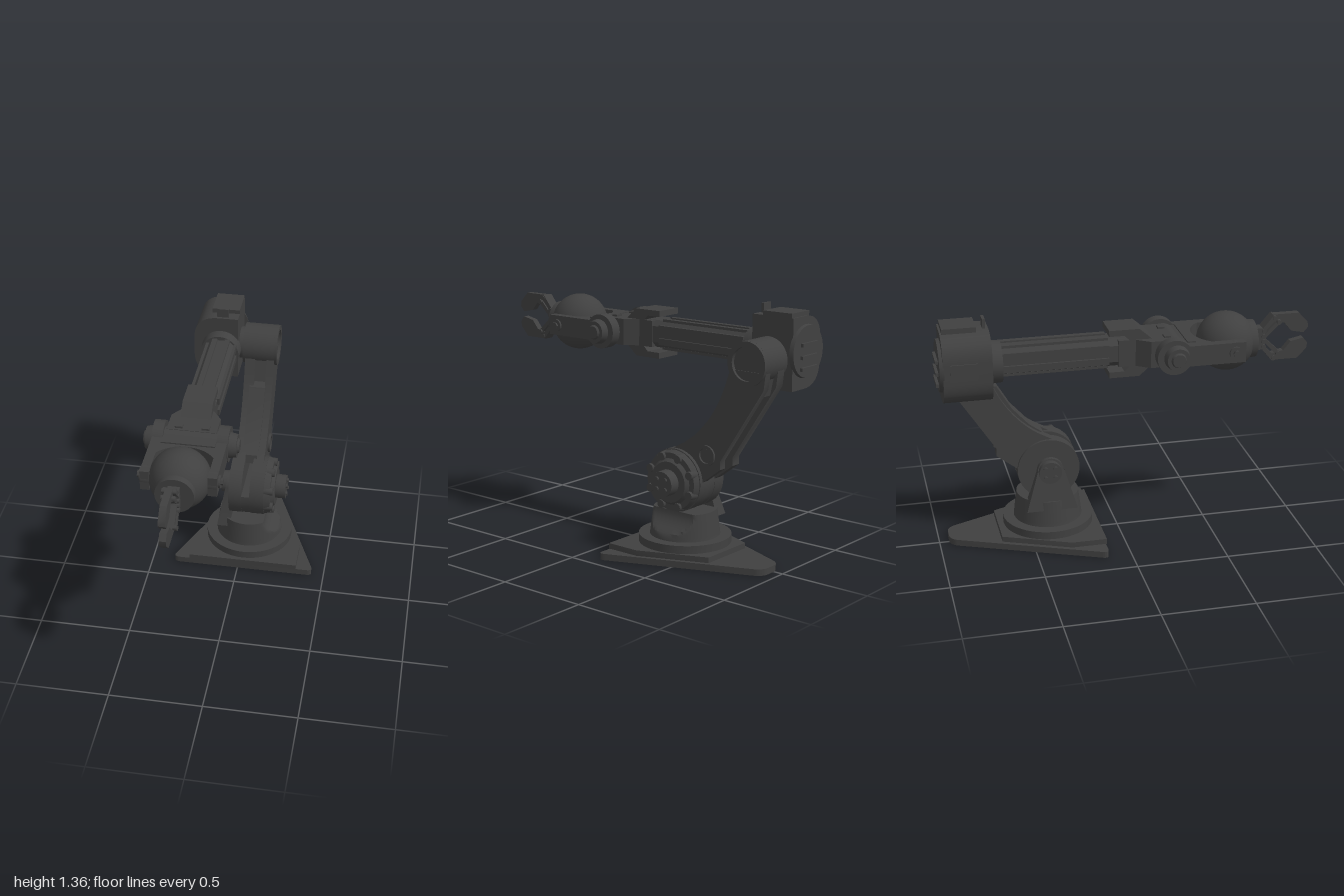
import * as THREE from 'three';
import { toCreasedNormals } from 'three/addons/utils/BufferGeometryUtils.js';

export function createModel() {
  const root = new THREE.Group();
  root.name = 'robotArm';
  const charcoal = new THREE.MeshStandardMaterial({ color: 0x404040 });
  charcoal.name = 'charcoal';
  const X = -0.18, Y = 1.125; // forearm centre line

  const add = (name, geo) => {
    const m = new THREE.Mesh(toCreasedNormals(geo, 0.6), charcoal);
    m.name = name;
    root.add(m);
    return m;
  };
  const toShape = (s) => (Array.isArray(s) ? new THREE.Shape(s.map((p) => new THREE.Vector2(p[0], p[1]))) : s);
  const extrude = (s, depth) =>
    new THREE.ExtrudeGeometry(toShape(s), { depth, bevelEnabled: false, curveSegments: 20 });
  // outline in (z, y), spanning x0..x1
  const side = (name, s, x0, x1) => add(name, extrude(s, x1 - x0).rotateY(-Math.PI / 2).translate(x1, 0, 0));
  // outline in (x, z), spanning y0..y1
  const plan = (name, s, y0, y1) => add(name, extrude(s, y1 - y0).rotateX(Math.PI / 2).translate(0, y1, 0));
  // outline in (x, y), spanning z0..z1
  const front = (name, s, z0, z1) => add(name, extrude(s, z1 - z0).translate(0, 0, z0));
  const box = (name, x0, x1, y0, y1, z0, z1) =>
    add(name, new THREE.BoxGeometry(x1 - x0, y1 - y0, z1 - z0).translate((x0 + x1) / 2, (y0 + y1) / 2, (z0 + z1) / 2));
  // cylinders along x, y and z
  const cylX = (name, x0, x1, y, z, r0, r1 = r0, n = 36) =>
    add(name, new THREE.CylinderGeometry(r1, r0, x1 - x0, n).rotateZ(-Math.PI / 2).translate((x0 + x1) / 2, y, z));
  const cylY = (name, y0, y1, x, z, r) =>
    add(name, new THREE.CylinderGeometry(r, r, y1 - y0, 48).translate(x, (y0 + y1) / 2, z));
  const cylZ = (name, z0, z1, x, y, r0, r1) =>
    add(name, new THREE.CylinderGeometry(r1, r0, z1 - z0, 36).rotateX(Math.PI / 2).translate(x, y, (z0 + z1) / 2));
  const ringX = (name, x0, x1, y, z, rOut, rIn) => {
    const s = new THREE.Shape().absarc(z, y, rOut, 0, Math.PI * 2);
    s.holes.push(new THREE.Path().absarc(z, y, rIn, 0, Math.PI * 2, true));
    return side(name, s, x0, x1);
  };
  // polygon with each corner rounded by its third value
  const rounded = (pts) => {
    const s = new THREE.Shape();
    pts.forEach((p, i) => {
      const v = new THREE.Vector2(p[0], p[1]);
      const toward = (q) => new THREE.Vector2(q[0], q[1]).sub(v).setLength(p[2] || 0).add(v);
      const a = toward(pts[(i + pts.length - 1) % pts.length]), b = toward(pts[(i + 1) % pts.length]);
      if (i) s.lineTo(a.x, a.y); else s.moveTo(a.x, a.y);
      if (p[2]) s.quadraticCurveTo(v.x, v.y, b.x, b.y);
    });
    s.closePath();
    return s;
  };

  // triangular foot and stepped turntable
  const bx = 0.03, bz = -0.39;
  plan('basePlate', rounded([[-0.38, -0.125, 0.04], [0.44, -0.125, 0.04], [0.1, -0.947, 0.05], [-0.04, -0.947, 0.05]]), 0, 0.035);
  plan('baseStep', [[-0.28, -0.12], [0.34, -0.12], [0.34, -0.31], [0.19, -0.67], [-0.13, -0.67], [-0.28, -0.31]], 0.035, 0.065);
  cylY('turntable', 0.065, 0.108, bx, bz, 0.248);

  // turret cone, scooped on its left flank to clear the motor
  const prof = [[0, 0.1], [0.19, 0.1]];
  for (let i = 0; i <= 8; i++) prof.push([0.188 - i * 0.0022, 0.11 + i * 0.0175]);
  prof.push([0, 0.25]);
  const cone = new THREE.LatheGeometry(prof.map((p) => new THREE.Vector2(p[0], p[1])), 64);
  const cp = cone.attributes.position;
  for (let i = 0; i < cp.count; i++) {
    const t = THREE.MathUtils.clamp((0.25 - cp.getY(i)) / 0.11, 0, 1);
    if (cp.getY(i) > 0.14) cp.setX(i, Math.min(cp.getX(i), 0.1 + 0.08 * t * t));
  }
  add('turret', cone.translate(bx, 0, bz));

  // shoulder support lug, leaning inwards
  const lug = new THREE.Shape();
  lug.moveTo(bz + 0.14, 0.2);
  lug.lineTo(bz + 0.075, 0.42);
  lug.absarc(bz, 0.415, 0.072, 0, Math.PI);
  lug.lineTo(bz - 0.14, 0.2);
  const lugMesh = side('shoulderLug', lug, -0.14, -0.06);
  const lp = lugMesh.geometry.attributes.position;
  for (let i = 0; i < lp.count; i++)
    if (lp.getX(i) < -0.1) lp.setX(i, -0.14 + Math.max(0, lp.getY(i) - 0.2) * 0.17);
  lugMesh.geometry = toCreasedNormals(lugMesh.geometry, 0.6);
  const sy = 0.417, sz = -0.395;
  cylX('shoulderPivot', -0.128, -0.07, sy, sz, 0.062);
  for (const [a, b] of [[1, 1], [1, -1], [-1, 1], [-1, -1]]) {
    cylX('pivotBolt', -0.138, -0.12, sy + a * 0.027, sz + b * 0.027, 0.012, 0.012, 10);
    cylX('hubBolt', 0.235, 0.252, sy + a * 0.027, sz + b * 0.027, 0.012, 0.012, 10);
  }

  // shoulder drum: two cheeks around a half-height core
  cylX('shoulderCheek', -0.07, 0.003, sy, sz, 0.17, 0.17, 48);
  cylX('shoulderCheek', 0.05, 0.13, sy, sz, 0.17, 0.17, 48);
  side('shoulderCore', new THREE.Shape().absarc(sz, sy, 0.168, Math.PI - 0.13, Math.PI * 2 + 0.13), 0, 0.052);
  cylX('motorFlange', 0.13, 0.165, sy, sz, 0.165, 0.155, 48);
  cylX('motorCover', 0.165, 0.185, sy, sz, 0.125, 0.11);
  cylX('motorHub', 0.18, 0.242, sy, sz, 0.07, 0.068, 24);
  for (let i = 0; i < 8; i++) {
    const a = (i + 0.5) * Math.PI / 4;
    cylX('flangeLobe', 0.13, 0.18, sy + 0.14 * Math.sin(a), sz + 0.14 * Math.cos(a), 0.027, 0.022, 12);
  }

  // upper arm: two boomerang plates with a web between
  const ey = 1.09, ez = -0.837;
  const armShape = new THREE.Shape();
  armShape.moveTo(-0.565, 0.43);
  armShape.lineTo(-0.675, 0.515);
  armShape.lineTo(-0.675, 0.56);
  armShape.lineTo(-0.935, 0.965);
  armShape.lineTo(-0.945, 1.05);
  armShape.lineTo(-0.73, 1.05);
  armShape.lineTo(-0.71, 0.99);
  armShape.quadraticCurveTo(-0.63, 0.75, -0.45, 0.63);
  armShape.lineTo(-0.36, 0.58);
  armShape.lineTo(-0.4, 0.45);
  side('armPlate', armShape, -0.055, 0.002);
  side('armPlate', armShape, 0.068, 0.11);
  side('armWeb', [[-0.5, 0.555], [-0.6, 0.6], [-0.79, 0.905], [-0.66, 0.905], [-0.59, 0.765], [-0.5, 0.67], [-0.41, 0.605], [-0.4, 0.555]], 0, 0.07);
  side('armCover', [[-0.44, 0.61], [-0.52, 0.67], [-0.62, 0.79], [-0.675, 0.905], [-0.66, 0.905], [-0.58, 0.77], [-0.49, 0.67], [-0.42, 0.62]], -0.02, 0.072);
  side('armBridge', [[-0.9, 0.92], [-0.93, 1.06], [-0.74, 1.06], [-0.7, 0.92]], 0, 0.07);
  ringX('armBoss', 0.1, 0.122, 0.578, -0.588, 0.055, 0.04);
  cylX('armBossCap', 0.1, 0.115, 0.578, -0.588, 0.036);
  cylX('elbowDrum', -0.07, 0.105, ey, ez, 0.115, 0.115, 48);
  ringX('elbowRim', 0.1, 0.125, ey, ez, 0.115, 0.088);
  cylX('elbowAxle', -0.11, -0.06, ey, ez, 0.09);

  // elbow housing, rounded on its outer side
  front('elbowHousing', rounded([[-0.345, 0.93, 0.14], [-0.095, 0.93], [-0.095, 1.305], [-0.345, 1.305, 0.14]]), -0.965, -0.715);
  box('housingLid', -0.25, -0.095, 1.24, 1.328, -0.955, -0.78);
  box('housingTab', -0.215, -0.15, 1.25, 1.355, -0.745, -0.73);
  cylZ('rearCap', -0.982, -0.96, X - 0.03, Y, 0.135, 0.14);
  for (const y of [1.04, 1.1, 1.165]) box('rearRib', -0.28, -0.14, y - 0.009, y + 0.009, -0.997, -0.97);
  box('sideVent', -0.352, -0.33, 1.08, 1.17, -0.93, -0.79);
  cylZ('forearmCollar', -0.72, -0.655, X - 0.01, Y - 0.012, 0.112, 0.108);

  // forearm tube with rails
  const oct = (w, h, c) => [[-w, -h + c], [-w + c, -h], [w - c, -h], [w, -h + c], [w, h - c], [w - c, h], [-w + c, h], [-w, h - c]].map(([a, b]) => [X + a, Y + b]);
  front('forearm', oct(0.074, 0.074, 0.03), -0.72, 0.12);
  for (const s of [-1, 1]) {
    for (const d of [-0.035, 0.035]) {
      box('sideRail', X + s * 0.078 - 0.008, X + s * 0.078 + 0.008, Y + d - 0.018, Y + d + 0.018, -0.66, -0.1);
      box('topRail', X + d - 0.015, X + d + 0.015, Y + s * 0.076 - 0.007, Y + s * 0.076 + 0.007, -0.66, -0.1);
    }
    // wrist shrouds above and below
    side('wristShroud', [[-0.1, Y + s * 0.098], [-0.1, Y + s * 0.13], [0.06, Y + s * 0.13], [0.14, Y + s * 0.06], [0.02, Y + s * 0.06], [-0.02, Y + s * 0.098]], X - 0.08, X + 0.08);
  }
  plan('wristYoke', [[X - 0.08, -0.05], [X + 0.08, -0.05], [X + 0.08, 0.04], [X + 0.13, 0.11], [X + 0.13, 0.24], [X - 0.13, 0.24], [X - 0.13, 0.11], [X - 0.08, 0.04]], Y - 0.072, Y + 0.072);

  // wrist axle
  cylX('wristBarrel', X - 0.15, X + 0.15, Y, 0.235, 0.07);
  for (const s of [-1, 1]) {
    const span = (name, a, b, y, z, r0, r1 = r0, n = 36) =>
      s > 0 ? cylX(name, X + a, X + b, y, z, r0, r1, n) : cylX(name, X - b, X - a, y, z, r1, r0, n);
    span('wristLug', 0.14, 0.198, Y, 0.222, 0.094);
    span('wristCap', 0.198, 0.238, Y, 0.23, 0.068, 0.06);
    span('wristCapBolt', 0.238, 0.25, Y, 0.23, 0.04, 0.034);
    box('wristBolt', X + s * 0.07 - 0.02, X + s * 0.07 + 0.02, Y + 0.06, Y + 0.082, 0.19, 0.225);
    // fork tine ends and pivots
    span('forkEye', 0.145, 0.195, Y, 0.545, 0.056);
    span('forkPivot', 0.195, 0.206, Y, 0.545, 0.034);
    span('forkBolt', 0.206, 0.218, Y, 0.545, 0.018, 0.018, 6);
  }

  // fork hugging the wrist ball
  const fork = new THREE.Shape();
  fork.moveTo(X - 0.195, 0.24);
  fork.lineTo(X + 0.195, 0.24);
  fork.lineTo(X + 0.195, 0.6);
  fork.lineTo(X + 0.148, 0.6);
  fork.lineTo(X + 0.148, 0.43);
  fork.absarc(X, 0.545, 0.187, -0.66, -Math.PI + 0.66, true);
  fork.lineTo(X - 0.148, 0.6);
  fork.lineTo(X - 0.195, 0.6);
  plan('fork', fork, Y - 0.055, Y + 0.055);
  box('forkPad', X - 0.14, X + 0.14, Y + 0.05, Y + 0.062, 0.3, 0.345);
  add('wristBall', new THREE.SphereGeometry(0.157, 48, 32).translate(X, Y, 0.547));
  cylZ('ballFace', 0.63, 0.7, X, Y, 0.105, 0.1);

  // gripper base and mirrored claws
  box('gripperBase', X - 0.03, X + 0.03, Y - 0.06, Y + 0.06, 0.69, 0.75);
  for (const s of [-1, 1]) {
    const flip = (pts) => pts.map(([z, y]) => [z, Y + s * y]);
    side('claw', flip([[1, 0.045], [0.995, 0.075], [0.945, 0.128], [0.8, 0.128], [0.785, 0.1], [0.82, 0.085], [0.865, 0.078], [0.905, 0.03], [0.975, 0.015]]), X - 0.018, X + 0.018);
    side('outerLink', flip([[0.735, 0.05], [0.76, 0.045], [0.82, 0.11], [0.8, 0.128]]), X - 0.032, X + 0.032);
    side('innerLink', flip([[0.745, 0.012], [0.765, 0.006], [0.845, 0.082], [0.825, 0.095]]), X - 0.026, X + 0.026);
    for (const [z, y] of [[0.75, 0.045], [0.75, 0.014], [0.808, 0.112], [0.832, 0.088]])
      cylX('linkPin', X - 0.037, X + 0.037, Y + s * y, z, 0.013, 0.013, 12);
  }
  return root;
}
